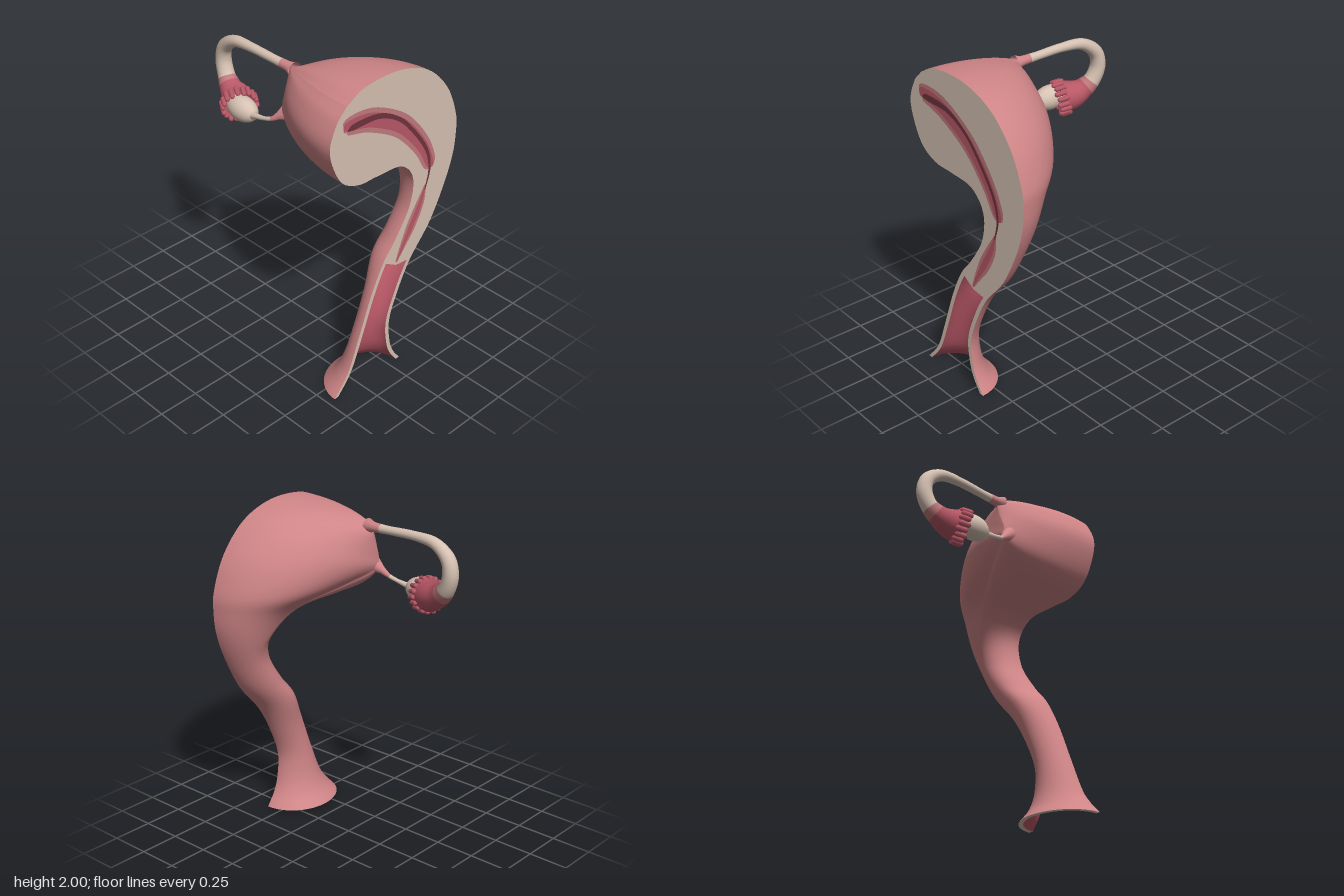
import * as THREE from 'three';

const CUT = 0.6; // x of the flat section plane
const mat = (name, color) => {
  const m = new THREE.MeshStandardMaterial({ color, side: THREE.DoubleSide });
  m.name = name;
  return m;
};
const V = (a) => new THREE.Vector3(...a);
const spline = (rows) => new THREE.CatmullRomCurve3(rows.map(V), false, 'catmullrom', 0.5);

// Body sections: front edge [z, y, roundness], back edge [z, y, roundness], side ridge [x, y, z]
const SECTIONS = [
  [[.45, 0, 1], [-.095, 0, 1], [.355, 0, .17]],
  [[.38, .08, 1], [-.04, .08, 1], [.42, .08, .17]],
  [[.325, .17, 1], [-.005, .18, 1], [.46, .2, .16]],
  [[.244, .385, 1], [.005, .34, 1], [.48, .38, .12]],
  [[.164, .6, 1], [-.058, .52, 1], [.475, .56, .05]],
  [[.075, .78, 1], [-.154, .70, 1], [.442, .76, -.03]],
  [[-.02, .9, 1], [-.31, .89, 1], [.44, .92, -.17]],
  [[-.13, 1.08, 1], [-.42, 1.1, 1], [.43, 1.1, -.28]],
  [[-.15, 1.26, 1], [-.48, 1.27, .95], [.38, 1.24, -.28]],
  [[-.05, 1.38, 1], [-.497, 1.41, .85], [.28, 1.42, -.15]],
  [[.14, 1.4, 1.1], [-.487, 1.54, .85], [.12, 1.54, .1]],
  [[.29, 1.41, 1.2], [-.40, 1.74, .85], [.03, 1.615, .27]],
  [[.42, 1.49, 1.3], [-.23, 1.91, .85], [.02, 1.68, .29]],
  [[.5, 1.69, 1.4], [0, 1.99, 1], [.02, 1.79, .25]],
  [[.456, 1.84, 1.7], [.25, 1.985, 1.5], [.02, 1.87, .235]],
  [[.38, 1.925, 2], [.38, 1.925, 2], [.02, 1.885, .235]],
];
const LAST = SECTIONS.length - 1, LUMEN_TOP = 5, WALL = 0.028;
const [frontEdge, backEdge, ridge] = [0, 1, 2].map((k) => spline(SECTIONS.map((r) => r[k])));

// Point on the half tube: s = section, v = 0 front edge .. 1 back edge
function wallPoint(s, v, inset = 0) {
  const f = frontEdge.getPoint(s / LAST), b = backEdge.getPoint(s / LAST), r = ridge.getPoint(s / LAST);
  if (inset) {
    const d = new THREE.Vector3(b.x - f.x, b.y - f.y, 0).setLength(inset);
    f.add(d);
    b.sub(d);
    r.x += inset;
  }
  const e = v < 0.5 ? f : b, a = Math.abs(1 - 2 * v) * Math.PI / 2;
  const k = Math.pow(Math.sin(a), e.z);
  return new THREE.Vector3(CUT - (CUT - r.x) * Math.cos(a), r.y + (e.y - r.y) * k, r.z + (e.x - r.z) * k);
}

// Smooth surface from a rule over u, v in 0..1
function surface(nu, nv, rule) {
  const pos = [], idx = [];
  for (let i = 0; i <= nu; i++) {
    for (let j = 0; j <= nv; j++) {
      pos.push(...rule(i / nu, j / nv).toArray());
      if (i < nu && j < nv) {
        const a = i * (nv + 1) + j, b = a + nv + 1;
        idx.push(a, b, a + 1, b, b + 1, a + 1);
      }
    }
  }
  const g = new THREE.BufferGeometry();
  g.setAttribute('position', new THREE.Float32BufferAttribute(pos, 3));
  g.setIndex(idx);
  g.computeVertexNormals();
  return g;
}

// Flat shape in the section plane from [z, y] points
function plate(points, x) {
  const g = new THREE.ShapeGeometry(new THREE.Shape(points.map(([z, y]) => new THREE.Vector2(-z, y))));
  return g.rotateY(Math.PI / 2).translate(x, 0, 0);
}

// Band of varying half width along a [z, y, halfWidth] path
function band(rows, x, scale = 1) {
  const c = spline(rows), a = [], b = [], n = 40;
  for (let i = 0; i <= n; i++) {
    const p = c.getPoint(i / n), t = c.getTangent(i / n);
    const l = Math.hypot(t.x, t.y), w = p.z * scale;
    a.push([p.x - t.y / l * w, p.y + t.x / l * w]);
    b.unshift([p.x + t.y / l * w, p.y - t.x / l * w]);
  }
  return plate([...a, ...b], x);
}

// Tube of varying radius from [x, y, z, radius]; breaks are path positions where the material changes
function taperedTube(rows, segs, sides, breaks) {
  const c = spline(rows.map((r) => r.slice(0, 3)));
  const g = new THREE.TubeGeometry(c, segs, 1, sides);
  const pos = g.attributes.position, v = new THREE.Vector3(), n = rows.length - 1;
  let group = 0, start = 0;
  for (let i = 0; i <= segs; i++) {
    const t = c.getUtoTmapping(i / segs) * n, k = Math.min(Math.floor(t), n - 1);
    const r = THREE.MathUtils.lerp(rows[k][3], rows[k + 1][3], t - k);
    const p = c.getPointAt(i / segs);
    for (let j = 0; j <= sides; j++) {
      const q = i * (sides + 1) + j;
      v.fromBufferAttribute(pos, q).sub(p).multiplyScalar(r).add(p);
      pos.setXYZ(q, v.x, v.y, v.z);
    }
    if (i === segs || t >= breaks[group]) {
      g.addGroup(start * sides * 6, (i - start) * sides * 6, group++);
      start = i;
    }
  }
  return g;
}

export function createModel() {
  const model = new THREE.Group();
  const pink = mat('outer pink', 0xcf8587);
  const beige = mat('tissue beige', 0xd6c1b2);
  const rose = mat('pale lining rose', 0xc27a7e);
  const crimson = mat('lining crimson', 0xb95867);
  const dark = mat('cavity dark', 0x6e343e);
  const add = (name, geo, m) => {
    const mesh = new THREE.Mesh(geo, m);
    mesh.name = name;
    model.add(mesh);
    return mesh;
  };

  // Outer wall, hollow canal lining and its rims
  add('outerWall', surface(90, 48, (u, v) => wallPoint(u * LAST, v)), pink);
  add('canalLining', surface(40, 32, (u, v) => wallPoint(u * LUMEN_TOP, v, WALL)), crimson);
  add('bottomRim', surface(1, 32, (u, v) => wallPoint(0, v, u * WALL)), beige);
  const neck = new THREE.Vector3(CUT, 0.72, -0.035);
  add('neckEnd', surface(6, 32, (u, v) => wallPoint(LUMEN_TOP, v, WALL).lerp(neck, u)), beige);

  // Flat section face
  const outline = [], N = 90, M = 30;
  const zy = (p) => [p.z, p.y];
  for (let i = 0; i <= N; i++) outline.push(zy(wallPoint(i / N * LAST, 0)));
  for (let i = N - 1; i >= 0; i--) outline.push(zy(wallPoint(i / N * LAST, 1)));
  for (let i = 0; i <= M; i++) outline.push(zy(wallPoint(i / M * LUMEN_TOP, 1, WALL)));
  outline.push([neck.z, neck.y]);
  for (let i = M; i >= 0; i--) outline.push(zy(wallPoint(i / M * LUMEN_TOP, 0, WALL)));
  add('sectionFace', plate(outline, CUT), beige);

  // Cavity layers on the section face
  const cavity = [[.405, 1.8, .025], [.36, 1.805, .055], [.2, 1.775, .07], [0, 1.67, .07],
    [-.12, 1.56, .066], [-.22, 1.43, .06], [-.28, 1.31, .05], [-.3, 1.27, .02]];
  const canal = [[-.255, 1.17, .008], [-.215, 1.06, .036], [-.15, .94, .042], [-.085, .83, .026], [-.035, .74, .008]];
  const slit = [[.375, 1.78, .006], [.32, 1.788, .02], [.14, 1.775, .016], [-.02, 1.69, .012],
    [-.15, 1.55, .012], [-.25, 1.4, .012], [-.28, 1.27, .009], [-.25, 1.14, .004]];
  add('cavityEdge', band(cavity, CUT + .0015), rose);
  add('cavityLining', band(cavity, CUT + .003, .6), crimson);
  add('neckCanalEdge', band(canal, CUT + .0015), rose);
  add('neckCanalLining', band(canal, CUT + .003, .5), crimson);
  add('cavitySlit', band(slit, CUT + .0045), dark);

  // Curved side tube opening into a funnel
  const duct = [[.06, 1.875, .238, .045], [.01, 1.876, .235, .029], [-.1, 1.877, .235, .025], [-.28, 1.88, .235, .027],
    [-.43, 1.866, .23, .034], [-.53, 1.8, .222, .043], [-.556, 1.71, .22, .047], [-.525, 1.62, .23, .05],
    [-.465, 1.565, .25, .066], [-.40, 1.54, .268, .088], [-.345, 1.53, .295, .1]];
  add('sideTube', taperedTube(duct, 90, 24, [1.45, 7.15, 7.65]), [pink, beige, rose, crimson]);

  // Fringe of fingers around the funnel mouth
  const fringe = new THREE.Group();
  fringe.name = 'funnelFringe';
  const mouth = V([-.345, 1.53, .295]);
  fringe.position.copy(mouth);
  fringe.quaternion.setFromUnitVectors(V([0, 1, 0]), V([.055, -.015, .03]).normalize());
  const finger = new THREE.CapsuleGeometry(.015, .045, 4, 8);
  for (let i = 0; i < 18; i++) {
    const a = i / 18 * Math.PI * 2, f = new THREE.Mesh(finger, crimson);
    f.name = 'finger';
    f.position.set(Math.cos(a) * .098, .004 + .008 * (i % 2), Math.sin(a) * .098);
    fringe.add(f);
  }
  model.add(fringe);

  // Oval gland and its cord
  const gland = add('ovalGland', new THREE.SphereGeometry(1, 32, 20), beige);
  gland.scale.set(.112, .075, .07);
  gland.position.set(-.275, 1.537, .33);
  gland.rotation.z = -.05;
  const cord = [[-.19, 1.535, .335, .035], [-.155, 1.538, .335, .017], [-.09, 1.55, .333, .012],
    [-.03, 1.57, .325, .013], [.01, 1.6, .31, .022], [.06, 1.635, .29, .05]];
  add('glandCord', taperedTube(cord, 30, 14, [2.9]), [beige, pink]);
  return model;
}
